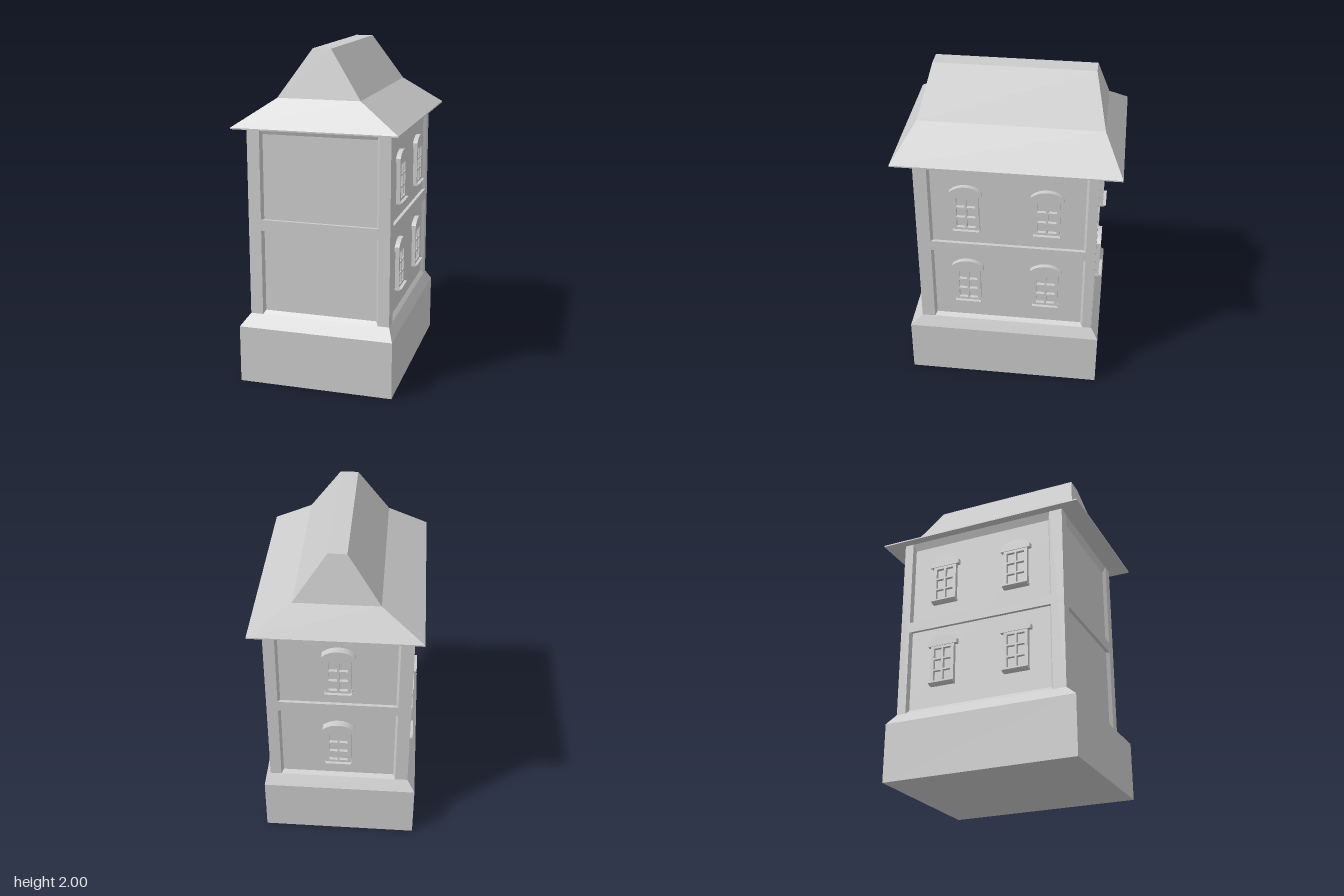
import * as THREE from 'three';

const mat = new THREE.MeshStandardMaterial({ color: 0xcccccc, flatShading: true });

function add(parent, geo, name) {
  const m = new THREE.Mesh(geo, mat);
  m.name = name;
  parent.add(m);
  return m;
}

// Stack of rectangular rings [x0, x1, z0, z1, y], from bottom to top, capped
function loft(rings) {
  const pos = [];
  const corners = ([x0, x1, z0, z1, y]) => [[x0, y, z1], [x1, y, z1], [x1, y, z0], [x0, y, z0]];
  const quad = (a, b, c, d) => pos.push(...a, ...b, ...c, ...a, ...c, ...d);
  const r = rings.map(corners);
  for (let k = 0; k < r.length - 1; k++) {
    for (let i = 0; i < 4; i++) {
      const j = (i + 1) % 4;
      quad(r[k][i], r[k][j], r[k + 1][j], r[k + 1][i]);
    }
  }
  quad(...r[r.length - 1]);
  quad(...r[0].slice().reverse());
  const g = new THREE.BufferGeometry();
  g.setAttribute('position', new THREE.Float32BufferAttribute(pos, 3));
  g.computeVertexNormals();
  return g;
}

const polygon = (pts) => new THREE.Shape(pts.map(([x, y]) => new THREE.Vector2(x, y)));
const rect = (x0, y0, x1, y1) => polygon([[x0, y0], [x1, y0], [x1, y1], [x0, y1]]);
const extrude = (shape, depth) =>
  new THREE.ExtrudeGeometry(shape, { depth, bevelEnabled: false, curveSegments: 10 });

// Window facing +z; y = 0 is the underside of the sill, z = 0 the frame's front
function makeWindow() {
  const g = new THREE.Group();
  g.name = 'window';
  const w = 0.076, back = 0.045;

  // frame with two columns and three rows of panes
  const frame = rect(-w, 0.012, w, 0.255);
  const pw = 0.05, ph = 0.06;
  for (const x of [-0.056, 0.006]) {
    for (let row = 0; row < 3; row++) {
      const y = 0.03 + row * (ph + 0.011);
      frame.holes.push(rect(x, y, x + pw, y + ph));
    }
  }
  add(g, extrude(frame, back).translate(0, 0, -back), 'windowFrame');
  add(g, new THREE.BoxGeometry(0.13, 0.22, 0.02).translate(0, 0.134, -0.03), 'windowPanes');

  // arched hood with square ears
  const hood = new THREE.Shape();
  hood.moveTo(-0.095, 0.248);
  hood.lineTo(0.095, 0.248);
  hood.lineTo(0.095, 0.275);
  hood.quadraticCurveTo(0.055, 0.314, 0, 0.314);
  hood.quadraticCurveTo(-0.055, 0.314, -0.095, 0.275);
  hood.closePath();
  add(g, extrude(hood, back + 0.004).translate(0, 0, -back), 'windowHood');

  // wedge-shaped sill
  const sill = polygon([[-back, 0], [0, 0], [0.018, 0.01], [0.018, 0.014], [-back, 0.017]]);
  add(g, extrude(sill, 2 * w + 0.006).rotateY(-Math.PI / 2).translate(w + 0.003, 0, 0), 'windowSill');
  return g;
}

export function createModel() {
  const model = new THREE.Group();
  model.name = 'house';

  // outer wall faces and depth of the sunken panels
  const X0 = -0.433, X1 = 0.42, Z0 = -0.527, Z1 = 0.538, D = 0.02;
  const outer = (y) => [X0, X1, Z0, Z1, y];
  const inner = (y) => [X0 + D, X1 - D, Z0 + D, Z1 - D, y];

  // plinth, sloped ledge, sunken walls and flared cornice
  add(model, loft([
    [-0.48, 0.455, -0.57, 0.61, 0],
    [-0.48, 0.455, -0.57, 0.61, 0.35],
    outer(0.415), inner(0.437), inner(1.51), outer(1.56),
  ]), 'wallsAndPlinth');

  // corner pilasters with splayed inner edges
  for (const sx of [-1, 1]) {
    for (const sz of [-1, 1]) {
      const wx = sx > 0 ? 0.068 : 0.076, wz = sz > 0 ? 0.08 : 0.057, b = 0.015, d = D + 0.002;
      const cx = sx > 0 ? X1 : X0, cz = sz > 0 ? Z1 : Z0;
      const plan = [[0, 0], [wx, 0], [wx + b, d], [d, d], [d, wz + b], [0, wz]]
        .map(([x, z]) => [cx - sx * x, -(cz - sz * z)]);
      add(model, extrude(polygon(plan), 1.145).rotateX(-Math.PI / 2).translate(0, 0.415, 0), 'cornerPilaster');
    }
  }

  // band between the storeys
  add(model, loft([outer(0.937), outer(1.003)]), 'storeyBand');

  // double-pitched hipped roof with flat ridge
  add(model, loft([
    [-0.485, 0.485, -0.655, 0.655, 1.555],
    [-0.485, 0.485, -0.655, 0.655, 1.563],
    [-0.243, 0.243, -0.54, 0.535, 1.725],
    [-0.053, 0.053, -0.47, 0.466, 2],
  ]), 'roof');

  // windows: two per storey on each side, one per storey at the back
  const place = (x, y, z, turn) => {
    const win = makeWindow();
    win.position.set(x, y, z);
    win.rotation.y = turn;
    model.add(win);
  };
  for (const y of [0.562, 1.096]) {
    for (const z of [-0.236, 0.237]) {
      place(0.424, y, z, Math.PI / 2);
      place(-0.437, y, z, -Math.PI / 2);
    }
  }
  for (const y of [0.547, 1.096]) place(-0.007, y, -0.548, Math.PI);

  return model;
}
